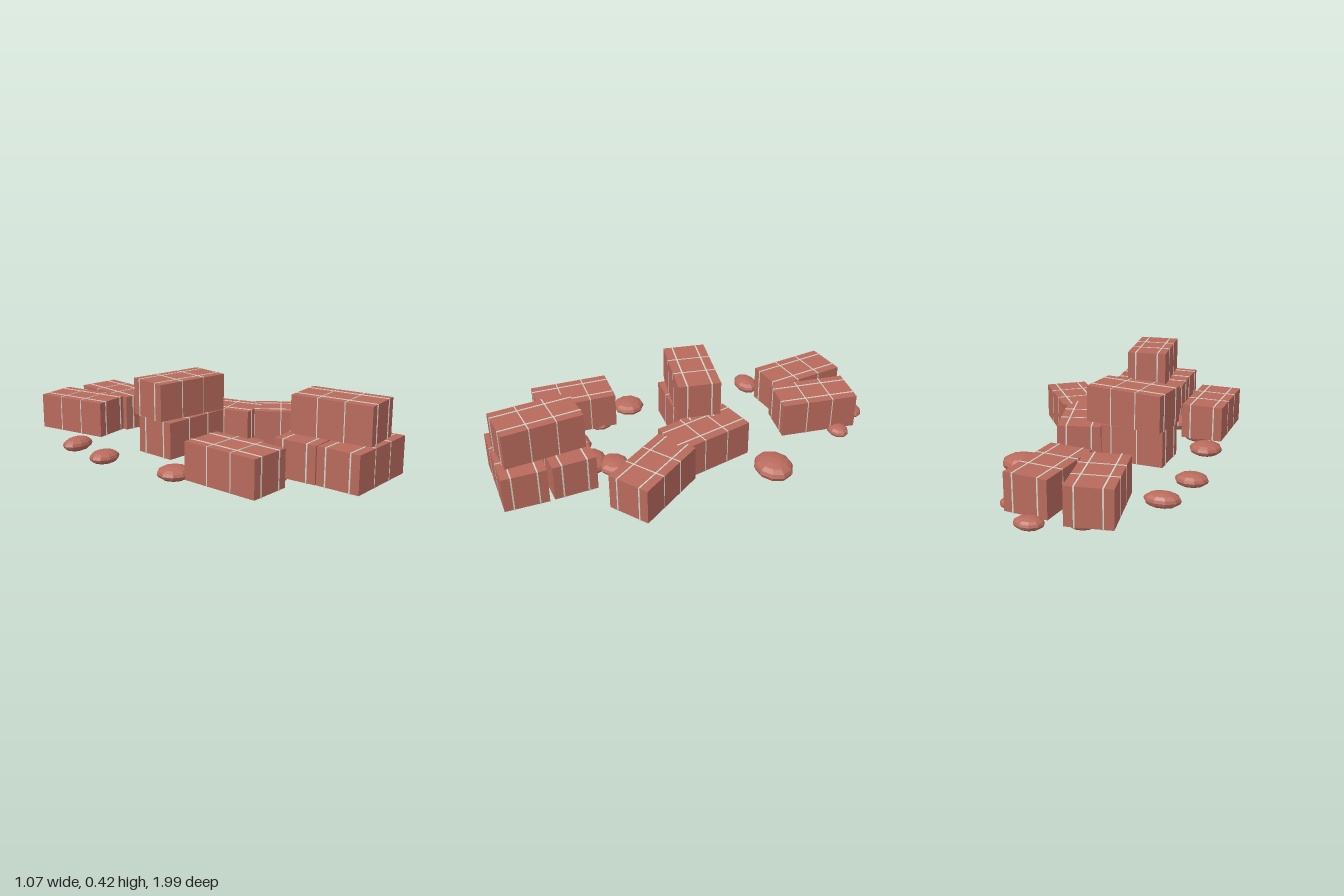
import * as THREE from 'three';

const brickRed = new THREE.MeshStandardMaterial({ color: 0xb86a5c, flatShading: true });
brickRed.name = 'brick red';
const strapGrey = new THREE.MeshStandardMaterial({ color: 0xd6d2c6 });
strapGrey.name = 'pale strap grey';

const W = 0.216, H = 0.182, L = 0.4; // one bale
const LIFT = 0.0025;                 // how far straps stand proud

function addBox(parent, name, w, h, d, x, z, material) {
  const mesh = new THREE.Mesh(new THREE.BoxGeometry(w, h, d), material);
  mesh.name = name;
  mesh.position.set(x, 0, z);
  parent.add(mesh);
}

// A block tied with two lengthwise and two crosswise straps
function makeBale(x, z, angle, level) {
  const bale = new THREE.Group();
  bale.name = 'strappedBale';
  addBox(bale, 'baleBody', W, H, L, 0, 0, brickRed);
  for (const side of [-1, 1]) {
    addBox(bale, 'longStrap', 0.007, H + 2 * LIFT, L + 2 * LIFT, side * 0.062, 0, strapGrey);
    addBox(bale, 'crossStrap', W + LIFT, H + 2 * LIFT, 0.005, 0, side * 0.067, strapGrey);
  }
  bale.position.set(x, 0.145 + level * 0.187, z);
  bale.rotation.y = angle;
  return bale;
}

// Flattened stone
const stoneGeometry = new THREE.SphereGeometry(1, 10, 8);
function makeStone(x, z, rx, rz) {
  const stone = new THREE.Mesh(stoneGeometry, brickRed);
  stone.name = 'flatStone';
  stone.scale.set(rx, rx * 0.42, rz);
  stone.position.set(x, 0.05, z);
  return stone;
}

export function createModel() {
  const model = new THREE.Group();
  model.name = 'baleStacks';

  // x, z, turn, level
  const bales = [
    [-0.15, -0.735, 0.1, 0],
    [0.093, -0.695, -0.167, 0],
    [-0.105, -0.07, 1.48, 0],
    [-0.115, -0.085, 1.36, 1],
    [0.16, -0.03, 0.2, 0],
    [0.333, 0.31, 0.58, 0],
    [-0.405, 0.466, -0.07, 0],
    [-0.005, 0.65, 1.584, 0],
    [-0.005, 0.88, 1.53, 0],
    [0.005, 0.765, 0.06, 1],
  ];
  for (const b of bales) model.add(makeBale(...b));

  // x, z, radius in x, radius in z
  const stones = [
    [0.09, -0.945, 0.07, 0.055],
    [0.225, -0.78, 0.07, 0.052],
    [-0.12, -0.87, 0.07, 0.06],
    [-0.385, -0.548, 0.088, 0.06],
    [-0.46, -0.283, 0.082, 0.066],
    [0.375, -0.315, 0.114, 0.095],
    [0.09, 0.03, 0.055, 0.05],
    [-0.44, 0.148, 0.085, 0.082],
    [0.1, 0.205, 0.112, 0.09],
    [0.045, 0.407, 0.087, 0.077],
    [-0.03, 0.505, 0.1, 0.085],
    [-0.2, 0.525, 0.095, 0.077],
    [-0.36, 0.345, 0.08, 0.07],
  ];
  for (const s of stones) model.add(makeStone(...s));

  return model;
}
